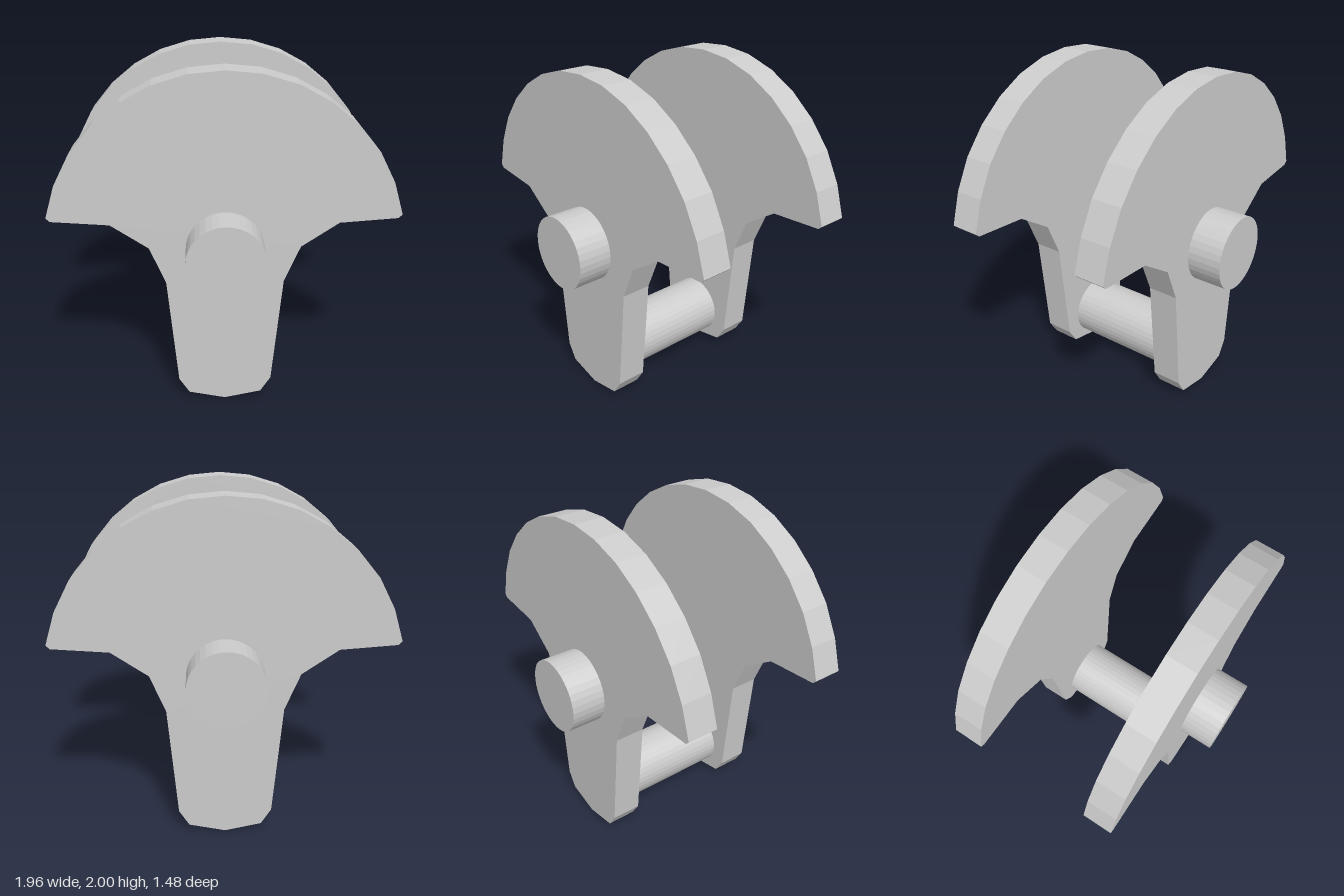
import * as THREE from 'three';

const material = new THREE.MeshStandardMaterial({ color: 0xcccccc, flatShading: true });

// Right half of the web outline, from top centre down to bottom centre
const HALF = [
  [0, 2], [0.195, 1.982], [0.385, 1.925], [0.555, 1.833], [0.705, 1.71],
  [0.83, 1.56], [0.922, 1.385], [0.98, 1.198], [0.958, 1.177], [0.635, 1.153],
  [0.425, 1.01], [0.335, 0.795], [0.275, 0.14], [0.215, 0.045], [0, 0],
];
const WEB_INNER = 0.353, WEB_OUTER = 0.533, JOURNAL_END = 0.738;

// Cylinder lying along z between two depths
function rod(name, radius, y, z0, z1) {
  const geometry = new THREE.CylinderGeometry(radius, radius, z1 - z0, 36).rotateX(Math.PI / 2);
  const mesh = new THREE.Mesh(geometry, material);
  mesh.name = name;
  mesh.position.set(0, y, (z0 + z1) / 2);
  return mesh;
}

export function createModel() {
  const group = new THREE.Group();
  group.name = 'crankshaft';

  // Counterweighted web plate, mirrored across x
  const left = HALF.slice(1, -1).reverse().map(([x, y]) => [-x, y]);
  const outline = [...HALF, ...left].map(([x, y]) => new THREE.Vector2(x, y));
  const webGeometry = new THREE.ExtrudeGeometry(new THREE.Shape(outline), {
    depth: WEB_OUTER - WEB_INNER, bevelEnabled: false,
  });

  for (const [name, z] of [['front', WEB_INNER], ['back', -WEB_OUTER]]) {
    const web = new THREE.Mesh(webGeometry, material);
    web.name = name + 'Web';
    web.position.z = z;
    group.add(web);
  }

  // Main journals on the outer faces
  group.add(rod('frontJournal', 0.22, 1.003, WEB_OUTER, JOURNAL_END));
  group.add(rod('backJournal', 0.22, 1.003, -JOURNAL_END, -WEB_OUTER));

  // Crank pin joining the two webs
  group.add(rod('crankPin', 0.184, 0.224, -WEB_INNER, WEB_INNER));

  return group;
}
